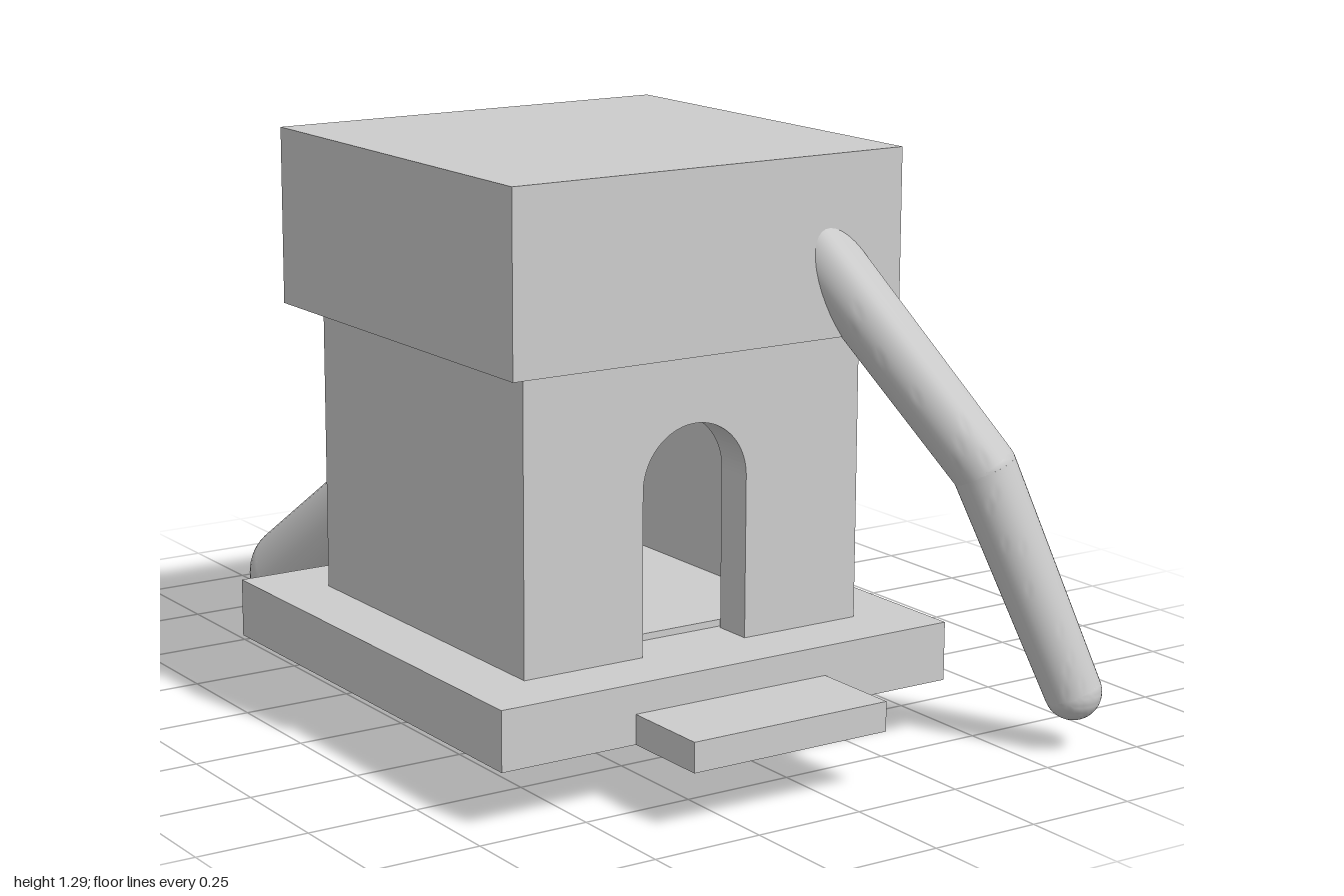
import * as THREE from 'three';
import { toCreasedNormals } from 'three/addons/utils/BufferGeometryUtils.js';

export function createModel() {
  const model = new THREE.Group();
  const stone = new THREE.MeshStandardMaterial({ color: 0xcccccc });
  stone.name = 'plain grey';

  const add = (name, geometry, parent = model) => {
    const mesh = new THREE.Mesh(geometry, stone);
    mesh.name = name;
    parent.add(mesh);
    return mesh;
  };

  // Box given by its lower and upper corners
  const block = (name, [x0, y0, z0], [x1, y1, z1], parent) => {
    const g = new THREE.BoxGeometry(x1 - x0, y1 - y0, z1 - z0);
    g.translate((x0 + x1) / 2, (y0 + y1) / 2, (z0 + z1) / 2);
    return add(name, g, parent);
  };

  // Plinth, doorstep and roof block
  block('plinth', [-0.68, 0.13, -0.4], [0.44, 0.26, 0.72]);
  block('doorstep', [-0.36, 0.13, 0.72], [0.12, 0.195, 0.93]);
  block('roof', [-0.6, 0.9, -0.32], [0.36, 1.29, 0.64]);

  // Hollow chamber
  const chamber = new THREE.Group();
  chamber.name = 'chamber';
  model.add(chamber);
  const wall = 0.09, L = -0.54, R = 0.3, B = -0.25, F = 0.58, Y0 = 0.26, Y1 = 0.9;
  block('leftWall', [R - wall, Y0, B], [R, Y1, F - wall], chamber);
  block('rightWall', [L, Y0, B], [L + wall, Y1, F - wall], chamber);
  block('backWall', [L + wall, Y0, B], [R - wall, Y1, B + wall], chamber);
  block('floorSlab', [L + wall, Y0, B + wall], [R - wall, 0.275, F - wall - 0.01], chamber);

  // Front wall with an arched doorway
  const front = new THREE.Shape();
  front.moveTo(L, Y0);
  front.lineTo(-0.25, Y0);
  front.lineTo(-0.25, 0.615);
  front.absarc(-0.12, 0.615, 0.13, Math.PI, 0, true);
  front.lineTo(0.01, Y0);
  front.lineTo(R, Y0);
  front.lineTo(R, Y1);
  front.lineTo(L, Y1);
  front.closePath();
  const frontGeo = new THREE.ExtrudeGeometry(front, { depth: wall, bevelEnabled: false, curveSegments: 24 });
  frontGeo.translate(0, 0, F - wall);
  add('frontWall', frontGeo, chamber);

  // Pedestal with a flared bowl inside the chamber
  block('pedestal', [-0.235, 0.275, -0.08], [-0.01, 0.42, 0.145]);
  const bowl = new THREE.LatheGeometry(
    [[0, 0], [0.06, 0], [0.088, 0.04], [0.076, 0.04], [0.05, 0.012], [0, 0.012]].map(([x, y]) => new THREE.Vector2(x, y)), 24);
  add('bowl', toCreasedNormals(bowl, 0.5)).position.set(-0.12, 0.42, 0.03);

  // Keep a geometry between two heights, leaving flat cuts
  const clampHeight = (g, low, high) => {
    const p = g.attributes.position;
    for (let i = 0; i < p.count; i++) p.setY(i, THREE.MathUtils.clamp(p.getY(i), low, high));
    return toCreasedNormals(g, 0.6);
  };

  // Bent limb: tapered tubes between points, rounded at the joints and the tip
  const limb = (name, nodes, low = -Infinity, high = Infinity) => {
    const group = new THREE.Group();
    group.name = name;
    model.add(group);
    const up = new THREE.Vector3(0, 1, 0);
    nodes.forEach(([x, y, z, r], i) => {
      const a = new THREE.Vector3(x, y, z);
      if (i < nodes.length - 1) {
        const ball = new THREE.SphereGeometry(r, 40, 28);
        ball.translate(x, y, z);
        add(i ? 'joint' : 'tip', clampHeight(ball, low, high), group);
        const [bx, by, bz, br] = nodes[i + 1];
        const dir = new THREE.Vector3(bx, by, bz).sub(a);
        const g = new THREE.CylinderGeometry(br, r, dir.length(), 40, 24);
        g.applyQuaternion(new THREE.Quaternion().setFromUnitVectors(up, dir.clone().normalize()));
        g.translate((x + bx) / 2, (y + by) / 2, (z + bz) / 2);
        add('segment', clampHeight(g, low, high), group);
      }
    });
  };

  // Slim limb leaning on the front of the roof
  limb('frontLimb', [
    [0.618, 0.132, 0.938, 0.062],
    [0.458, 0.62, 0.815, 0.07],
    [0.15, 1.14, 0.555, 0.074],
  ]);

  // Thick limb leaving the back wall, cut flat at its foot and top
  limb('backLimb', [
    [-0.282, 0.105, -0.88, 0.12],
    [-0.217, 0.395, -0.505, 0.113],
    [-0.11, 0.84, -0.22, 0.113],
  ], 0, 0.845);

  return model;
}
